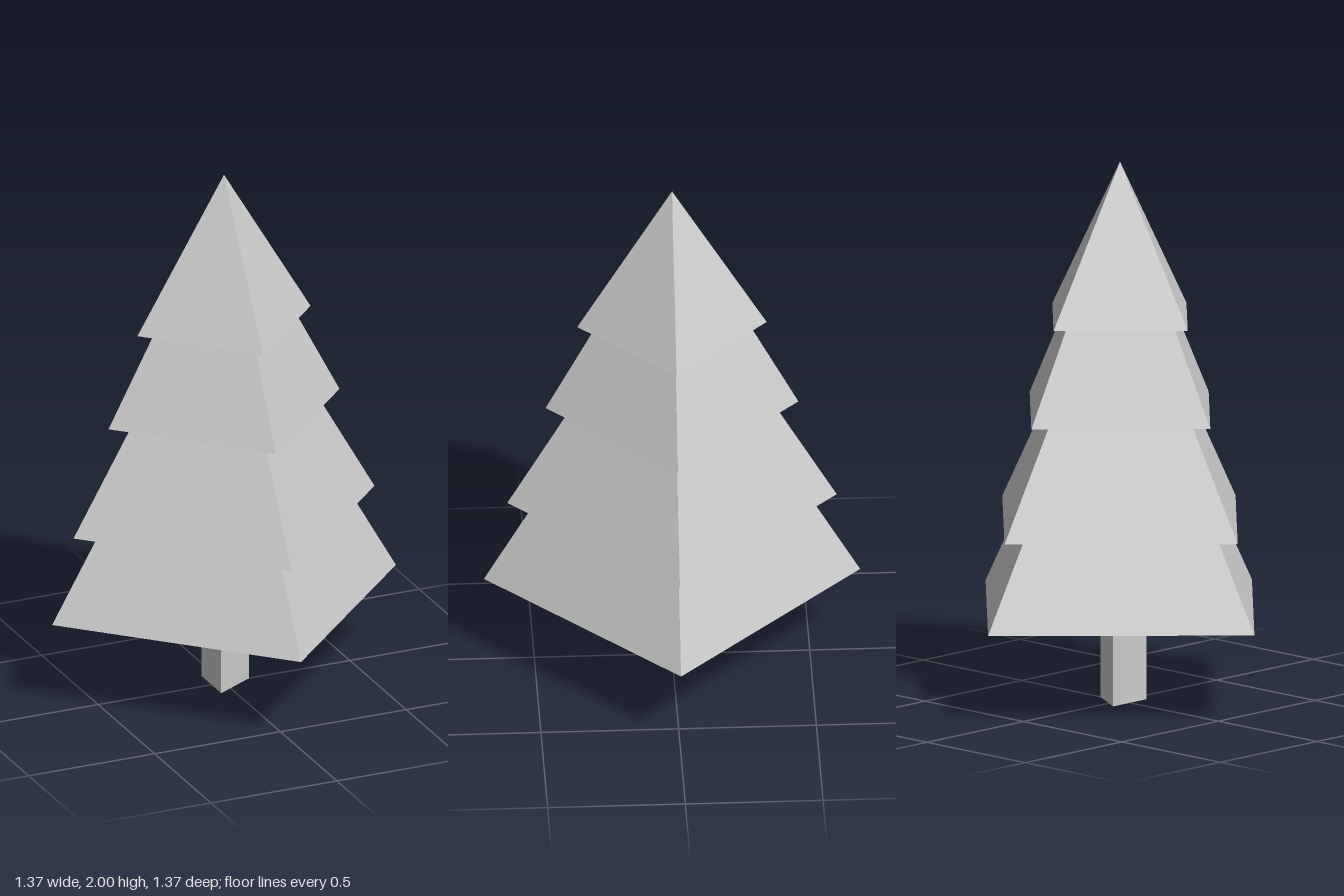
import * as THREE from 'three';

export function createModel() {
  const tree = new THREE.Group();
  tree.name = 'pineTree';
  const material = new THREE.MeshStandardMaterial({
    color: 0xcccccc, flatShading: true, side: THREE.DoubleSide,
  });

  // Open three-sided trunk, one corner towards +x
  const trunkHeight = 0.4;
  const trunk = new THREE.Mesh(
    new THREE.CylinderGeometry(0.1, 0.1, trunkHeight, 3, 1, true, Math.PI / 2), material);
  trunk.name = 'trunk';
  trunk.position.y = trunkHeight / 2;
  tree.add(trunk);

  // Hollow four-sided foliage cones, nested: base height, base radius, cone height
  const tiers = [
    [0.345, 0.683, 1.19],
    [0.671, 0.598, 1.04],
    [1.077, 0.459, 0.87],
    [1.424, 0.344, 0.576],
  ];
  tiers.forEach(([base, radius, height], i) => {
    const tier = new THREE.Mesh(new THREE.ConeGeometry(radius, height, 4, 1, true), material);
    tier.name = `foliageTier${i + 1}`;
    tier.position.y = base + height / 2;
    tree.add(tier);
  });

  return tree;
}
